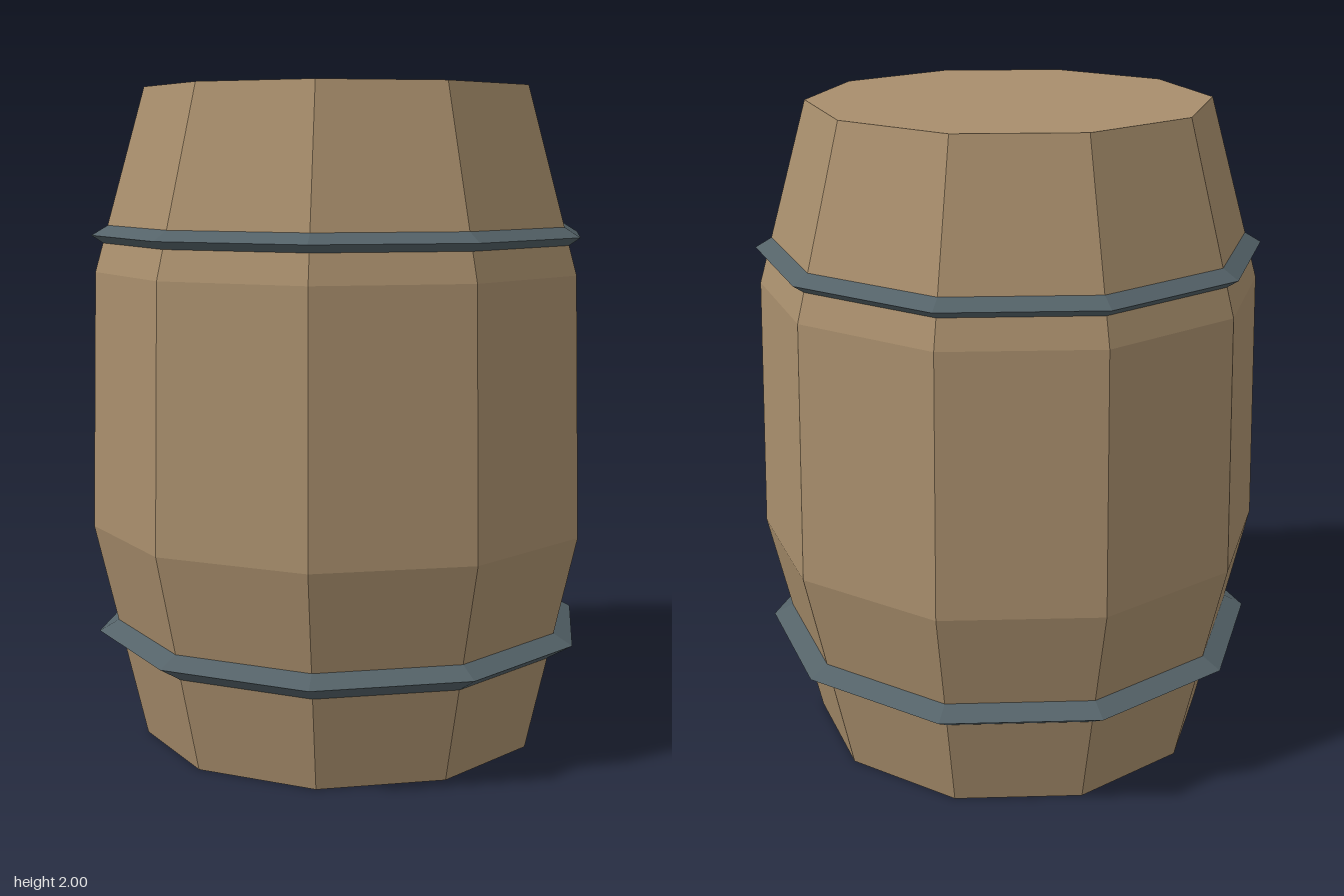
import * as THREE from 'three';

const SIDES = 10;

// Ten-sided turned part with a corner on the +x axis
function turned(name, profile, color) {
  const points = profile.map(([r, y]) => new THREE.Vector2(r, y));
  const geometry = new THREE.LatheGeometry(points, SIDES, Math.PI / 2);
  const material = new THREE.MeshStandardMaterial({ color, flatShading: true });
  const mesh = new THREE.Mesh(geometry, material);
  mesh.name = name;
  return mesh;
}

export function createModel() {
  const barrel = new THREE.Group();
  barrel.name = 'barrel';

  // Wooden body, closed at both ends
  barrel.add(turned('body', [
    [0, 0], [0.62, 0], [0.775, 0.67], [0.755, 1.45], [0.6, 2], [0, 2],
  ], 0xa88e6c));

  // Metal hoops with a pointed rim, their inner edges sunk into the wood
  barrel.add(turned('lowerHoop', [
    [0.67, 0.282], [0.687, 0.29], [0.765, 0.337], [0.705, 0.37], [0.67, 0.388],
  ], 0x546268));
  barrel.add(turned('upperHoop', [
    [0.68, 1.52], [0.731, 1.537], [0.765, 1.56], [0.715, 1.59], [0.68, 1.61],
  ].map(([r, y]) => [r, y]), 0x546268));

  return barrel;
}
